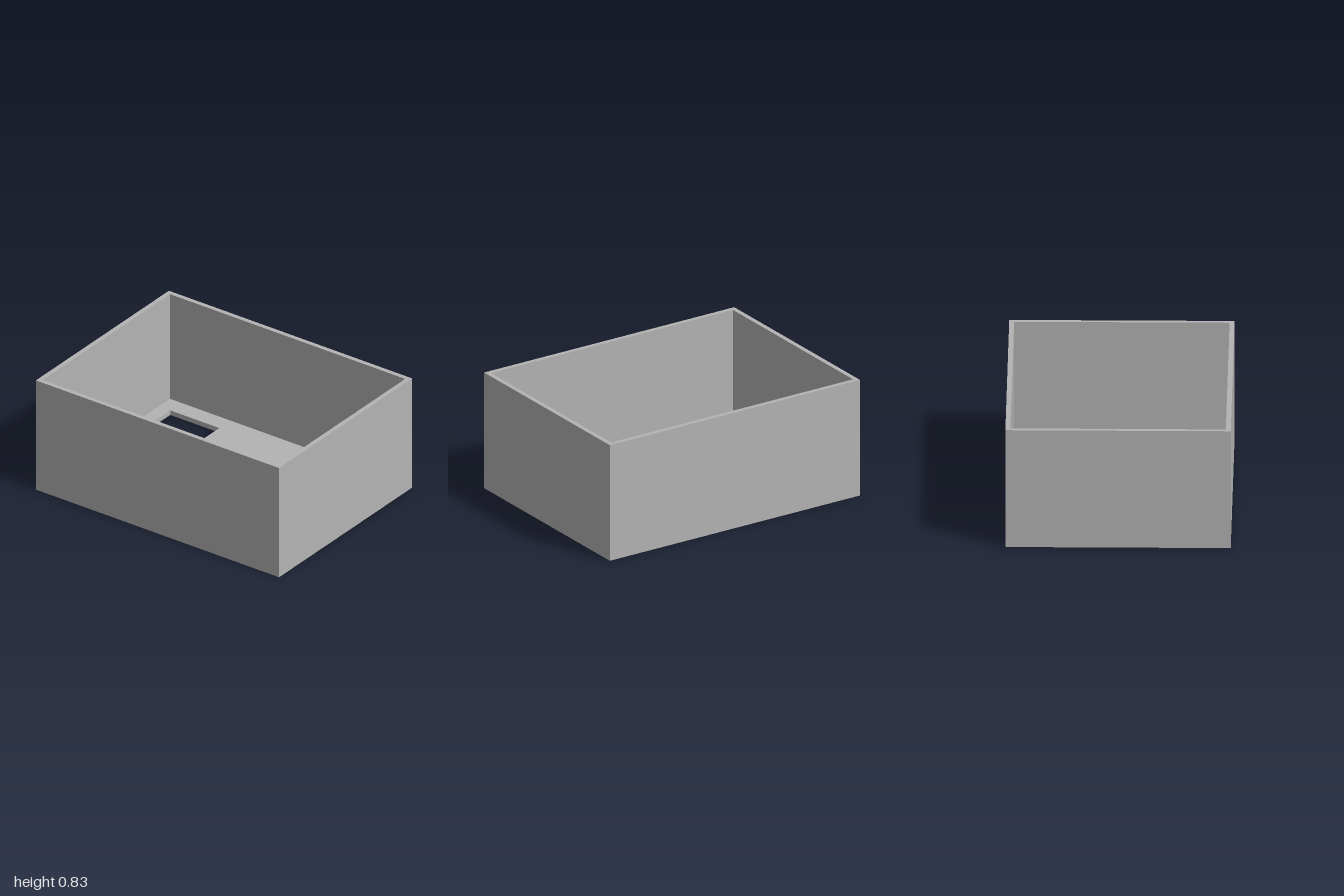
import * as THREE from 'three';

const HALF_X = 0.748, HALF_Z = 1, HEIGHT = 0.833;
const WALL = 0.033, FLOOR = 0.035;

// Trace a rectangle in plan (x, z) onto a shape or hole path
function rectangle(path, x0, x1, z0, z1) {
  path.moveTo(x0, z0);
  path.lineTo(x1, z0);
  path.lineTo(x1, z1);
  path.lineTo(x0, z1);
  path.closePath();
  return path;
}

// Extrude the outer plan, with rectangular holes, between two heights
function slab(name, holes, bottom, top, material) {
  const shape = rectangle(new THREE.Shape(), -HALF_X, HALF_X, -HALF_Z, HALF_Z);
  for (const hole of holes) shape.holes.push(rectangle(new THREE.Path(), ...hole));
  const geometry = new THREE.ExtrudeGeometry(shape, { depth: top - bottom, bevelEnabled: false });
  geometry.rotateX(Math.PI / 2).translate(0, top, 0);
  const mesh = new THREE.Mesh(geometry, material);
  mesh.name = name;
  return mesh;
}

export function createModel() {
  const group = new THREE.Group();
  group.name = 'openBox';
  const grey = new THREE.MeshStandardMaterial({ color: 0xb3b3b3 });
  grey.name = 'grey';

  // Floor with a wide window at the back and a narrow slot at the front
  const backWindow = [-0.597, 0.59, -0.873, -0.47];
  const frontSlot = [-0.23, 0.217, 0.625, 0.726];
  group.add(slab('floor', [backWindow, frontSlot], 0, FLOOR, grey));

  // Four thin walls, open at the top
  const inside = [-HALF_X + WALL, HALF_X - WALL, -HALF_Z + WALL, HALF_Z - WALL];
  group.add(slab('walls', [inside], FLOOR, HEIGHT, grey));

  return group;
}
